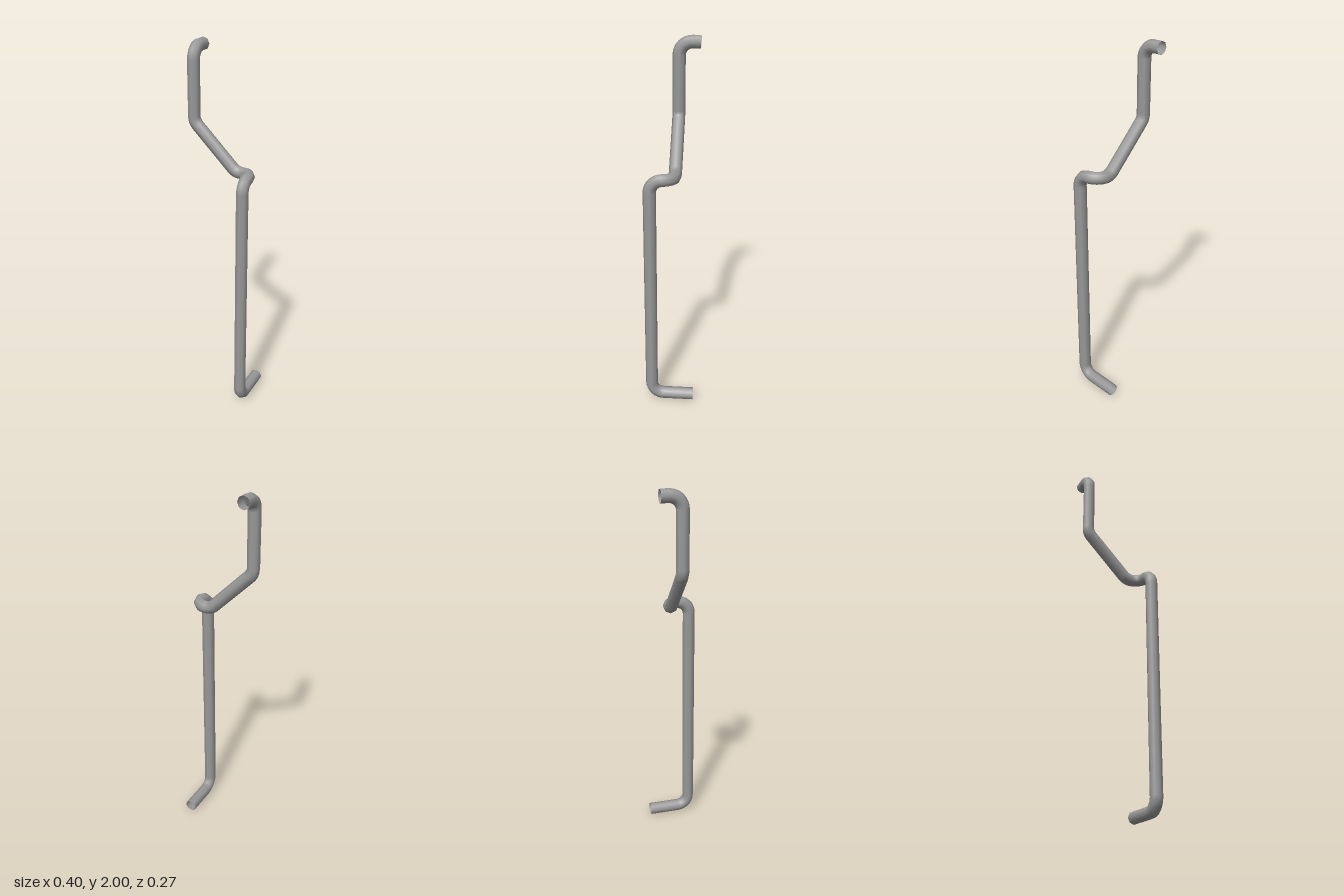
import * as THREE from 'three';

const RADIUS = 0.034;      // rod thickness
const BEND = 0.067;        // centre-line radius of each bend
const BEND_STEPS = 8;
const SIDES = 8;

// Straight runs joined by circular bends, sampled only where the rod needs rings
class BentRodCurve extends THREE.Curve {
  constructor(corners) {
    super();
    this.points = [];
    this.tangents = [];
    const add = (p, t) => { this.points.push(p); this.tangents.push(t); };
    const last = corners.length - 1;
    const dir = (i) => corners[i + 1].clone().sub(corners[i]).normalize();
    add(corners[0], dir(0));
    for (let i = 1; i < last; i++) {
      const a = dir(i - 1), b = dir(i);
      const angle = a.angleTo(b);
      const start = corners[i].clone().addScaledVector(a, -BEND * Math.tan(angle / 2));
      const inward = b.clone().addScaledVector(a, -a.dot(b)).normalize();
      for (let k = 0; k <= BEND_STEPS; k++) {
        const t = angle * k / BEND_STEPS;
        add(
          start.clone().addScaledVector(a, BEND * Math.sin(t)).addScaledVector(inward, BEND * (1 - Math.cos(t))),
          a.clone().multiplyScalar(Math.cos(t)).addScaledVector(inward, Math.sin(t)),
        );
      }
    }
    add(corners[last], dir(last - 1));
  }
  index(u) { return Math.round(u * (this.points.length - 1)); }
  getPointAt(u, target = new THREE.Vector3()) { return target.copy(this.points[this.index(u)]); }
  getTangentAt(u, target = new THREE.Vector3()) { return target.copy(this.tangents[this.index(u)]); }
}

export function createModel() {
  const group = new THREE.Group();
  group.name = 'bentHandle';

  // Corner points from the upper mounting end down to the lower one
  const corners = [
    [-0.167, 1.966, -0.135],
    [-0.167, 1.966, -0.024],
    [-0.167, 1.586, -0.024],
    [0.075, 1.342, -0.024],
    [0.167, 1.342, -0.024],
    [0.167, 1.342, 0.101],
    [0.167, 0.034, 0.101],
    [0.167, 0.034, -0.135],
  ].map((p) => new THREE.Vector3(...p));

  // Hollow dark grey rod with open ends
  const curve = new BentRodCurve(corners);
  const rod = new THREE.Mesh(
    new THREE.TubeGeometry(curve, curve.points.length - 1, RADIUS, SIDES, false),
    new THREE.MeshStandardMaterial({ color: 0x999999, side: THREE.DoubleSide }),
  );
  rod.name = 'bentRod';
  group.add(rod);
  return group;
}
